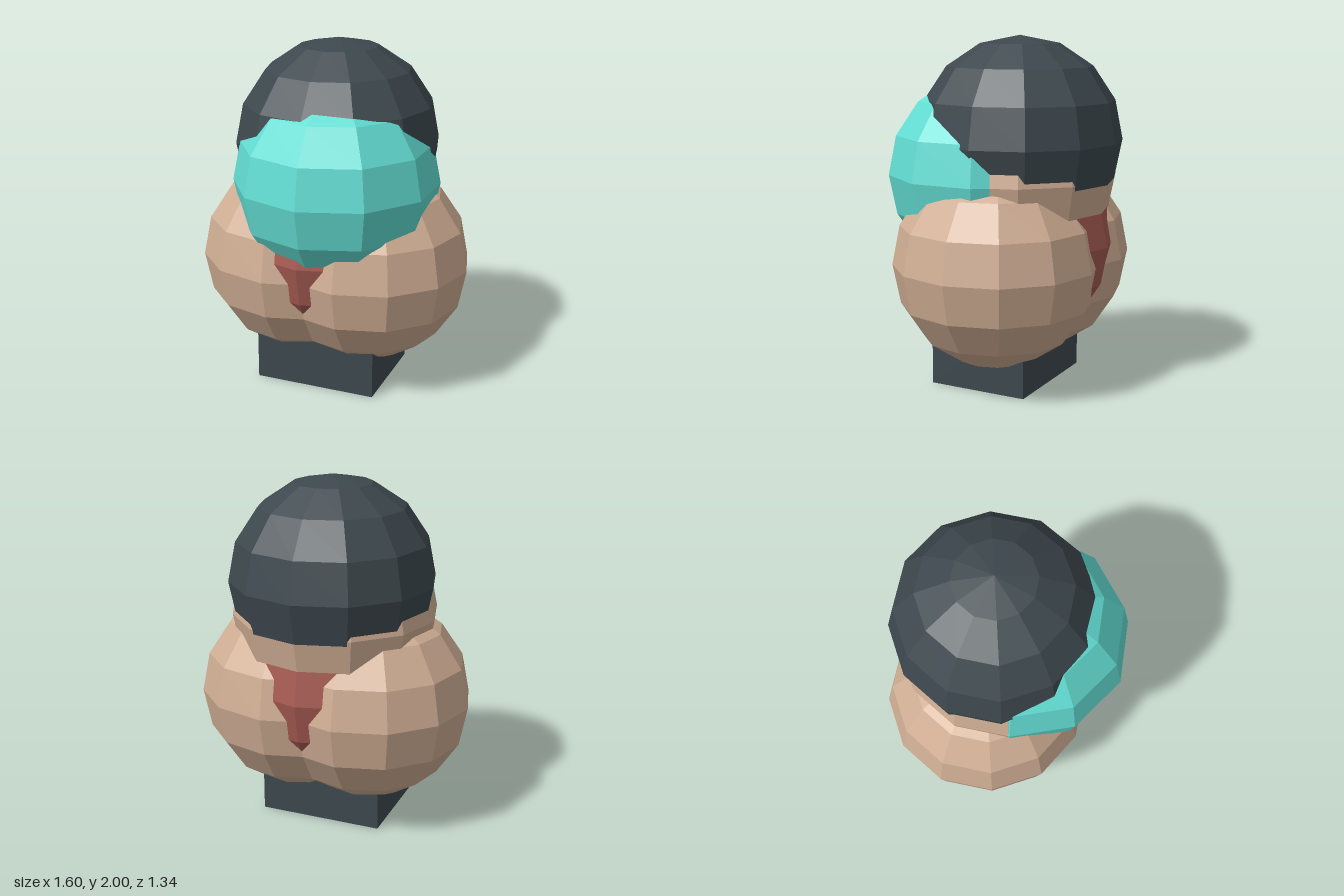
import * as THREE from 'three';

const material = (color) => new THREE.MeshStandardMaterial({ color, flatShading: true });

export function createModel() {
  const model = new THREE.Group();
  const skin = material(0xd0ae94);
  const dark = material(0x3d484e);
  const red = material(0xa55a51);
  const teal = material(0x62ddd3);
  const R = 0.59;

  const add = (name, geometry, mat, x, y, z) => {
    const mesh = new THREE.Mesh(geometry, mat);
    mesh.name = name;
    mesh.position.set(x, y, z);
    model.add(mesh);
    return mesh;
  };
  // Low-poly ball; all balls share one radius and overlap
  const ball = (name, mat, x, y, z, sides = 12) =>
    add(name, new THREE.SphereGeometry(R, sides, 8), mat, x, y, z);

  // Square base, its top sunk into the body
  add('base', new THREE.BoxGeometry(0.72, 0.5, 0.59), dark, 0, 0.25, 0.005);

  // Body: two balls side by side
  for (const side of [-1, 1]) {
    ball(side > 0 ? 'bodyLeft' : 'bodyRight', skin, side * 0.21, 0.72, -0.04);
  }

  // Scarf showing in the valley between the body halves
  ball('scarf', red, 0, 0.83, -0.04);

  // Head, with the hair cap above and slightly behind
  ball('head', skin, 0, 1.21, -0.04);
  ball('hair', dark, 0, 1.41, -0.08);

  // Face mask pushed out of the front, a little off centre
  ball('mask', teal, 0.05, 1.21, 0.08, 10).rotation.y = Math.PI / 2;

  return model;
}
